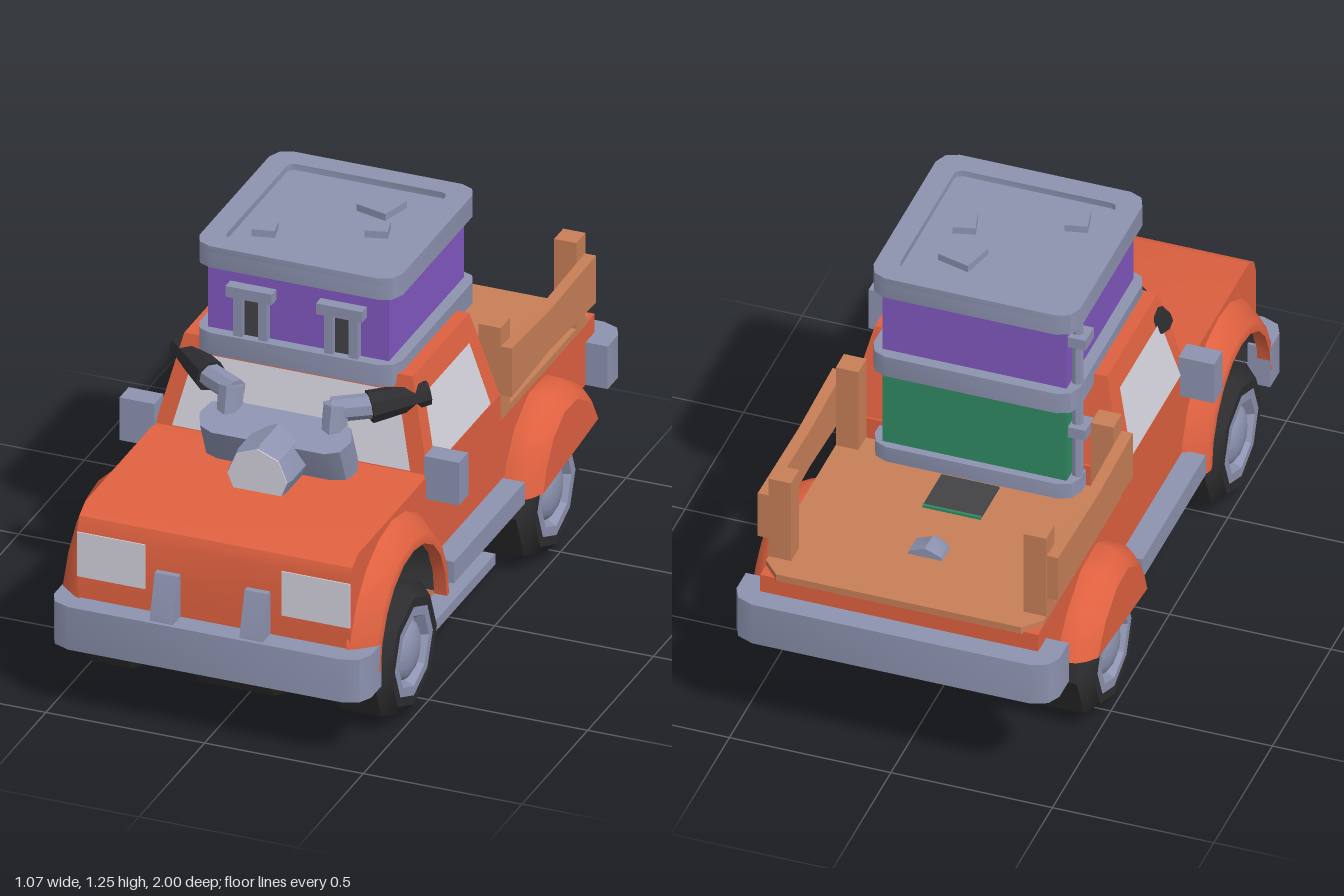
import * as THREE from 'three';
import { toCreasedNormals } from 'three/addons/utils/BufferGeometryUtils.js';

export function createModel() {
  const root = new THREE.Group();
  root.name = 'towerTruck';
  const mat = (name, color, side = THREE.FrontSide) => {
    const m = new THREE.MeshStandardMaterial({ color, side });
    m.name = name;
    return m;
  };
  const orange = mat('orange paint', 0xdf6140), brown = mat('brown wood', 0xc87f57);
  const grey = mat('blue grey', 0x8d93b0), purple = mat('purple wall', 0x8058c0);
  const green = mat('green wall', 0x2f8a63), dark = mat('dark grey', 0x434347);
  const black = mat('tyre black', 0x2d2d2f), glass = mat('pale glass', 0xd4d2dc, THREE.DoubleSide);

  const add = (name, geo, material) => {
    const mesh = new THREE.Mesh(toCreasedNormals(geo, 0.62), material);
    mesh.name = name;
    root.add(mesh);
    return mesh;
  };
  // Part on the +x side plus its mirror image
  const pair = (name, geo, material) => {
    const flip = geo.toNonIndexed ? (geo.index ? geo.toNonIndexed() : geo.clone()) : geo;
    flip.scale(-1, 1, 1);
    const p = flip.attributes.position;
    for (let i = 0; i < p.count; i += 3) {
      const a = [p.getX(i + 1), p.getY(i + 1), p.getZ(i + 1)];
      p.setXYZ(i + 1, p.getX(i + 2), p.getY(i + 2), p.getZ(i + 2));
      p.setXYZ(i + 2, ...a);
    }
    add(name + 'Left', geo, material);
    add(name + 'Right', flip, material);
  };
  const box = (x0, x1, y0, y1, z0, z1) =>
    new THREE.BoxGeometry(x1 - x0, y1 - y0, z1 - z0).translate((x0 + x1) / 2, (y0 + y1) / 2, (z0 + z1) / 2);
  const shape = (pts) => new THREE.Shape(pts.map(([a, b]) => new THREE.Vector2(a, b)));
  // Outline in x,z raised from y0 to y1
  const slab = (pts, y0, y1, hole) => {
    const s = shape(pts);
    if (hole) s.holes.push(shape(hole));
    return new THREE.ExtrudeGeometry(s, { depth: y1 - y0, bevelEnabled: false }).rotateX(Math.PI / 2).translate(0, y1, 0);
  };
  // Outline in z,y widened from x0 to x1
  const profile = (pts, x0, x1, steps = 1) =>
    new THREE.ExtrudeGeometry(shape(pts), { depth: x1 - x0, steps, bevelEnabled: false }).rotateY(-Math.PI / 2).translate(x1, 0, 0);
  const chamfered = (w, d, c) => [[w, c - d], [w, d - c], [w - c * 0.3, d - c * 0.3], [w - c, d], [c - w, d], [c * 0.3 - w, d - c * 0.3],
    [-w, d - c], [-w, c - d], [c * 0.3 - w, c * 0.3 - d], [c - w, -d], [w - c, -d], [w - c * 0.3, c * 0.3 - d]];
  const lathe = (pts, n, start, len) =>
    new THREE.LatheGeometry(pts.map(([r, y]) => new THREE.Vector2(r, y)), n, start, len);
  const rod = (a, b, r0, r1 = r0) => {
    const A = new THREE.Vector3(...a), d = new THREE.Vector3(...b).sub(A);
    const g = new THREE.CylinderGeometry(r1, r0, d.length(), 8).translate(0, d.length() / 2, 0);
    return g.applyQuaternion(new THREE.Quaternion().setFromUnitVectors(new THREE.Vector3(0, 1, 0), d.normalize())).translate(...A);
  };
  const quad = (p) => {
    const g = new THREE.BufferGeometry();
    g.setAttribute('position', new THREE.Float32BufferAttribute([0, 1, 2, 0, 2, 3].flatMap((i) => p[i]), 3));
    g.computeVertexNormals();
    return g;
  };

  // Body with the front wheel arch cut through
  const arch = [];
  for (let i = 0; i <= 10; i++) {
    const a = Math.PI - 0.32 - (i / 10) * (Math.PI - 0.64);
    arch.push([0.615 + 0.27 * Math.cos(a), 0.275 + 0.27 * Math.sin(a)]);
  }
  add('body', profile([[-0.93, 0.36], ...arch, [0.93, 0.36], [0.93, 0.58], [0.915, 0.62], [0.87, 0.645],
    [-0.215, 0.645], [-0.215, 0.56], [-0.93, 0.56]], -0.43, 0.43), orange);
  add('wheelWell', profile(arch, -0.29, 0.29), dark);
  pair('wheelArchLining', lathe([[0.268, 0.495], [0.268, 0.29]], 10, Math.PI, Math.PI)
    .rotateZ(-Math.PI / 2).translate(0, 0.275, 0.615), dark);
  pair('frontFender', lathe([[0.36, 0.42], [0.35, 0.44], [0.3, 0.495], [0.285, 0.5], [0.27, 0.5], [0.27, 0.46]], 10, Math.PI, Math.PI)
    .rotateZ(-Math.PI / 2).scale(1, 1, 0.93).translate(0, 0.275, 0.615), orange);

  // Domed rear fenders, shrinking outwards
  const rear = profile([[-0.77, 0.352], [-0.735, 0.41], [-0.68, 0.47], [-0.56, 0.54], [-0.43, 0.543], [-0.32, 0.48],
    [-0.255, 0.39], [-0.22, 0.295]], 0.42, 0.535, 5);
  const rp = rear.attributes.position;
  for (let i = 0; i < rp.count; i++) {
    const t = Math.max(0, (rp.getX(i) - 0.42) / 0.115), s = Math.sqrt(1 - 0.42 * t * t * t);
    rp.setY(i, 0.325 + (rp.getY(i) - 0.325) * s);
    rp.setZ(i, -0.495 + (rp.getZ(i) + 0.495) * s);
  }
  pair('rearFender', rear, orange);

  // Cab: a box tapered towards the roof
  const cab = box(-0.43, 0.43, 0.64, 0.93, -0.21, 0.34), cp = cab.attributes.position;
  for (let i = 0; i < cp.count; i++) if (cp.getY(i) > 0.9) {
    cp.setX(i, Math.sign(cp.getX(i)) * 0.36);
    cp.setZ(i, cp.getZ(i) > 0 ? 0.285 : -0.145);
  }
  add('cab', cab, orange);
  const up = (y) => (y - 0.64) / 0.29;
  const front = (x, y) => [x, y, 0.344 - 0.055 * up(y)];
  const flank = (z, y) => [0.434 - 0.07 * up(y), y, z];
  add('windshield', quad([front(-0.375, 0.65), front(0.375, 0.65), front(0.32, 0.88), front(-0.32, 0.88)]), glass);
  pair('sideWindow', quad([flank(0.285, 0.65), flank(-0.135, 0.65), flank(-0.095, 0.86), flank(0.245, 0.86)]), glass);
  pair('mirror', box(0.425, 0.535, 0.575, 0.715, 0.285, 0.355), grey);
  pair('runningBoard', box(0.36, 0.5, 0.29, 0.36, -0.23, 0.31), grey);
  pair('headlight', box(0.215, 0.43, 0.43, 0.575, 0.926, 0.934), glass);

  // Bumpers wrapping round the corners
  const wrap = (s) => [[-0.5, 0.86], [-0.43, 0.86], [-0.43, 0.93], [0.43, 0.93], [0.43, 0.86], [0.5, 0.86], [0.5, 0.94], [0.48, 0.98],
    [0.43, 1], [-0.43, 1], [-0.48, 0.98], [-0.5, 0.94]].map(([x, z]) => [x, z * s]);
  add('frontBumper', slab(wrap(1), 0.22, 0.36), grey);
  add('rearBumper', slab(wrap(-1), 0.36, 0.5), grey);
  pair('bumperGuard', profile([[0.925, 0.34], [0.99, 0.34], [0.985, 0.38], [0.95, 0.5], [0.925, 0.5]], 0.105, 0.178), grey);

  // Load bed with stake sides
  add('bedFloor', slab([[-0.43, -0.22], [0.43, -0.22], [0.43, -0.88], [0.38, -0.935], [-0.38, -0.935], [-0.43, -0.88]], 0.555, 0.578), brown);
  for (const z of [-0.25, -0.825]) pair('stakePost', box(0.36, 0.43, 0.575, 0.86, z - 0.035, z + 0.035), brown);
  pair('stakeRail', profile([[-0.215, 0.64], [-0.215, 0.8], [-0.5, 0.785], [-0.855, 0.795], [-0.855, 0.64], [-0.5, 0.655]], 0.43, 0.465), brown);
  add('bedHatch', box(-0.09, 0.09, 0.575, 0.584, -0.475, -0.32), dark);
  add('hatchEdge', box(-0.09, 0.09, 0.575, 0.586, -0.484, -0.475), green);
  add('bedNozzle', lathe([[0, -0.71], [0.07, -0.71], [0.07, -0.645], [0.012, -0.565], [0, -0.565]], 8)
    .rotateX(Math.PI / 2).translate(0, 0.54, 0), grey);

  // Wheels: three on each axle
  for (const z of [0.615, -0.47]) {
    for (const [x, h] of [[-0.395, 0.105], [0, 0.16], [0.395, 0.105]]) {
      const place = (g) => g.rotateZ(-Math.PI / 2).translate(x, 0.215, z);
      add('tyre', place(lathe([[0.14, 0.03 - h], [0.145, -h], [0.175, -h], [0.212, 0.04 - h], [0.212, h - 0.04],
        [0.175, h], [0.145, h], [0.14, h - 0.03]], 8)), black);
      add('rim', place(lathe([[0, 0.025 - h], [0.1, 0.03 - h], [0.115, -h], [0.145, -h], [0.145, h], [0.115, h], [0.1, h - 0.03], [0, h - 0.025]], 8)), grey);
      for (const s of [-1, 1])
        add('hub', new THREE.SphereGeometry(0.092, 12, 8).scale(0.4, 1, 1).translate(x + s * (h - 0.03), 0.215, z), grey);
    }
    add('axle', rod([-0.3, 0.215, z], [0.3, 0.215, z], 0.06), green);
  }
  add('rearTank', profile([[-0.7, 0.36], [-0.74, 0.25], [-0.79, 0.25], [-0.78, 0.36]], -0.15, 0.15), green);
  add('frontTank', box(-0.3, 0.3, 0.25, 0.36, 0.29, 0.36), green);
  pair('exhaustPipe', lathe([[0, -0.3], [0.042, -0.3], [0.042, -0.13], [0.006, -0.03], [0, -0.03]], 8)
    .rotateX(Math.PI / 2).translate(0.3, 0.225, 0), grey);

  // Tower storeys and trims
  const T = 0.285;
  add('basePlate', box(-0.355, 0.355, 0, 0.035, -0.355, 0.36), grey);
  add('baseHole', new THREE.CylinderGeometry(0.05, 0.05, 0.004, 8).translate(0, 0.0015, 0), dark);
  add('lowerStorey', box(-T, T, 0.035, 0.4, -T, T), brown);
  add('middleStorey', box(-T, T, 0.4, 0.9, -T, T * 0.98), green);
  add('upperStorey', box(-T, T, 0.93, 1.19, -T, T), purple);
  const ring = chamfered(0.32, 0.32, 0.055);
  add('lowerTrim', slab(chamfered(0.32, 0.31, 0.055), 0.57, 0.63), grey);
  add('upperTrim', slab(ring, 0.895, 0.965), grey);
  add('lid', slab(ring, 1.18, 1.23), grey);
  add('lidRim', slab(ring, 1.23, 1.25, chamfered(0.25, 0.25, 0.02).reverse()), grey);
  for (const [x, z, w, a] of [[0.095, -0.12, 0.105, -0.26], [0.14, 0.02, 0.068, 0.26], [-0.165, 0.14, 0.068, 0.22]])
    add('lidTile', new THREE.BoxGeometry(w, 0.025, w).rotateY(a).translate(x, 1.24, z), grey);
  pair('sideVent', box(0.28, 0.293, 0.125, 0.16, -0.15, -0.04), green);
  pair('smallVent', box(0.28, 0.293, 0.1, 0.125, 0.15, 0.185), green);

  // Hooded openings on the tower front
  for (const [y0, y1] of [[0.94, 1.1], [0.035, 0.28]]) {
    pair('opening', box(0.115, 0.17, y0, y1, 0.28, 0.292), dark);
    pair('openingPostInner', box(0.09, 0.118, y0, y1, 0.28, 0.31), grey);
    pair('openingPostOuter', box(0.167, 0.196, y0, y1, 0.28, 0.31), grey);
    if (y0 > 0.5) pair('openingHood', box(0.07, 0.215, 1.095, 1.13, 0.28, 0.322), grey);
  }
  add('frontFitting', box(0.16, 0.25, 0.075, 0.11, 0.28, 0.34), grey);

  // Drain pipe on the tower corner
  add('drainPipe', rod([-0.303, 0.58, -0.24], [-0.303, 1.19, -0.24], 0.018), grey);
  for (const y of [0.8, 1.127]) add('pipeBracket', box(-0.34, -0.28, y - 0.018, y + 0.018, -0.275, -0.205), grey);

  // Exposed engine with its intake and side stacks
  add('engineBlock', slab(chamfered(0.238, 0.065, 0.06), -0.065, 0.065).rotateX(0.4).translate(0, 0.717, 0.435), grey);
  const intake = [[0, 0.46], [0.1, 0.46], [0.1, 0.6], [0.094, 0.62], [0, 0.62]];
  add('intake', lathe(intake, 8).rotateX(Math.PI / 2).translate(0.01, 0.69, 0), grey);
  add('intakeFace', new THREE.CylinderGeometry(0.094, 0.094, 0.006, 8).rotateX(Math.PI / 2).translate(0.01, 0.69, 0.621), glass);
  pair('stackRiser', rod([0.165, 0.7, 0.43], [0.165, 0.855, 0.395], 0.04), grey);
  pair('stackElbow', rod([0.15, 0.835, 0.4], [0.27, 0.845, 0.34], 0.038), grey);
  pair('stackTip', rod([0.25, 0.84, 0.35], [0.392, 0.862, 0.24], 0.05, 0.036), black);
  return root;
}
